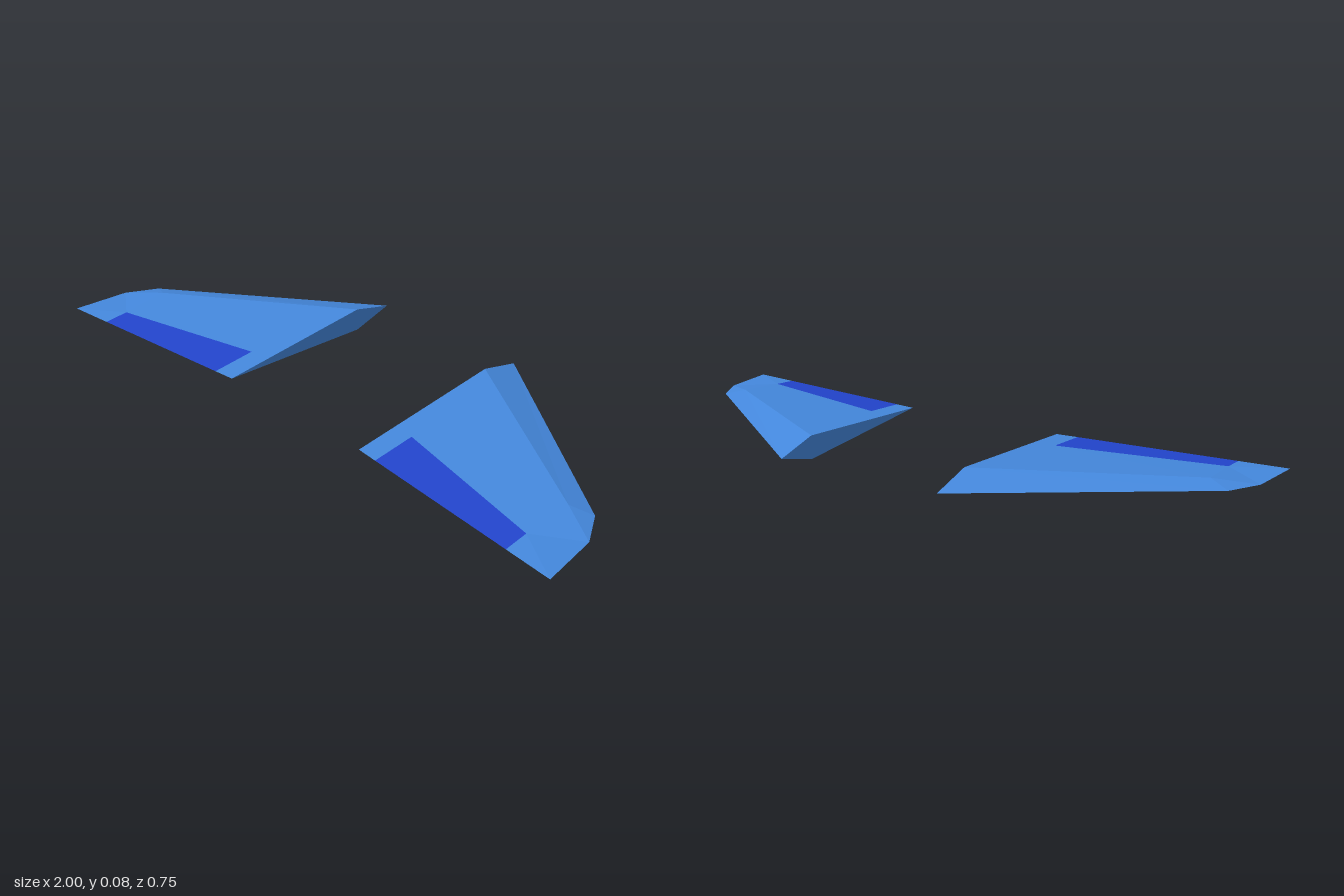
import * as THREE from 'three';

const MID = 0.0375; // height of the sharp outer edges

// Corner points of the left wing, upper half: x, height above the mid plane, z
const P = {
  rootLead: [0.275, 0, -0.375],
  rootTrail: [0.275, 0, 0.305],
  tipLead: [0.925, 0, 0.09],
  tipSide: [0.98, 0, 0.19],
  tipTrail: [1, 0, 0.375],
  rootRidge: [0.275, 0.0375, -0.235],
  tipRidge: [0.86, 0.0175, 0.12],
  flapIn: [0.345, 0.0102, 0.165],
  flapOut: [0.85, 0.0056, 0.28],
  flapInTrail: [0.345, 0, 0.312],
  flapOutTrail: [0.85, 0, 0.3605],
};

const panelFaces = [
  ['rootLead', 'rootRidge', 'tipRidge', 'tipLead'],
  ['tipLead', 'tipRidge', 'tipSide'],
  ['tipSide', 'tipRidge', 'flapOut'],
  ['tipSide', 'flapOut', 'tipTrail'],
  ['flapOut', 'flapOutTrail', 'tipTrail'],
  ['rootRidge', 'flapIn', 'flapOut', 'tipRidge'],
  ['rootRidge', 'rootTrail', 'flapIn'],
  ['rootTrail', 'flapInTrail', 'flapIn'],
  ['rootTrail', 'rootRidge', 'rootLead'], // half of the root cap
];
const flapFaces = [['flapIn', 'flapInTrail', 'flapOutTrail', 'flapOut']];

// Fans each face into triangles, on the upper and the lower half
function shell(faces, side) {
  const pos = [];
  for (const face of faces) {
    for (const up of [1, -1]) {
      const pts = face.map((n) => [P[n][0] * side, MID + P[n][1] * up, P[n][2]]);
      if (side * up < 0) pts.reverse();
      for (let i = 1; i < pts.length - 1; i++) pos.push(...pts[0], ...pts[i], ...pts[i + 1]);
    }
  }
  const geo = new THREE.BufferGeometry();
  geo.setAttribute('position', new THREE.Float32BufferAttribute(pos, 3));
  geo.computeVertexNormals();
  return geo;
}

export function createModel() {
  const model = new THREE.Group();
  model.name = 'wings';
  const wingMat = new THREE.MeshStandardMaterial({ color: 0x4488dd, flatShading: true });
  const flapMat = new THREE.MeshStandardMaterial({ color: 0x2244cc, flatShading: true });

  for (const [name, side] of [['left', 1], ['right', -1]]) {
    const wing = new THREE.Group();
    wing.name = name + 'Wing';
    // Faceted wing body
    const panel = new THREE.Mesh(shell(panelFaces, side), wingMat);
    panel.name = name + 'WingPanel';
    // Flush trailing-edge flap, both surfaces
    const flap = new THREE.Mesh(shell(flapFaces, side), flapMat);
    flap.name = name + 'Flap';
    wing.add(panel, flap);
    model.add(wing);
  }
  return model;
}
